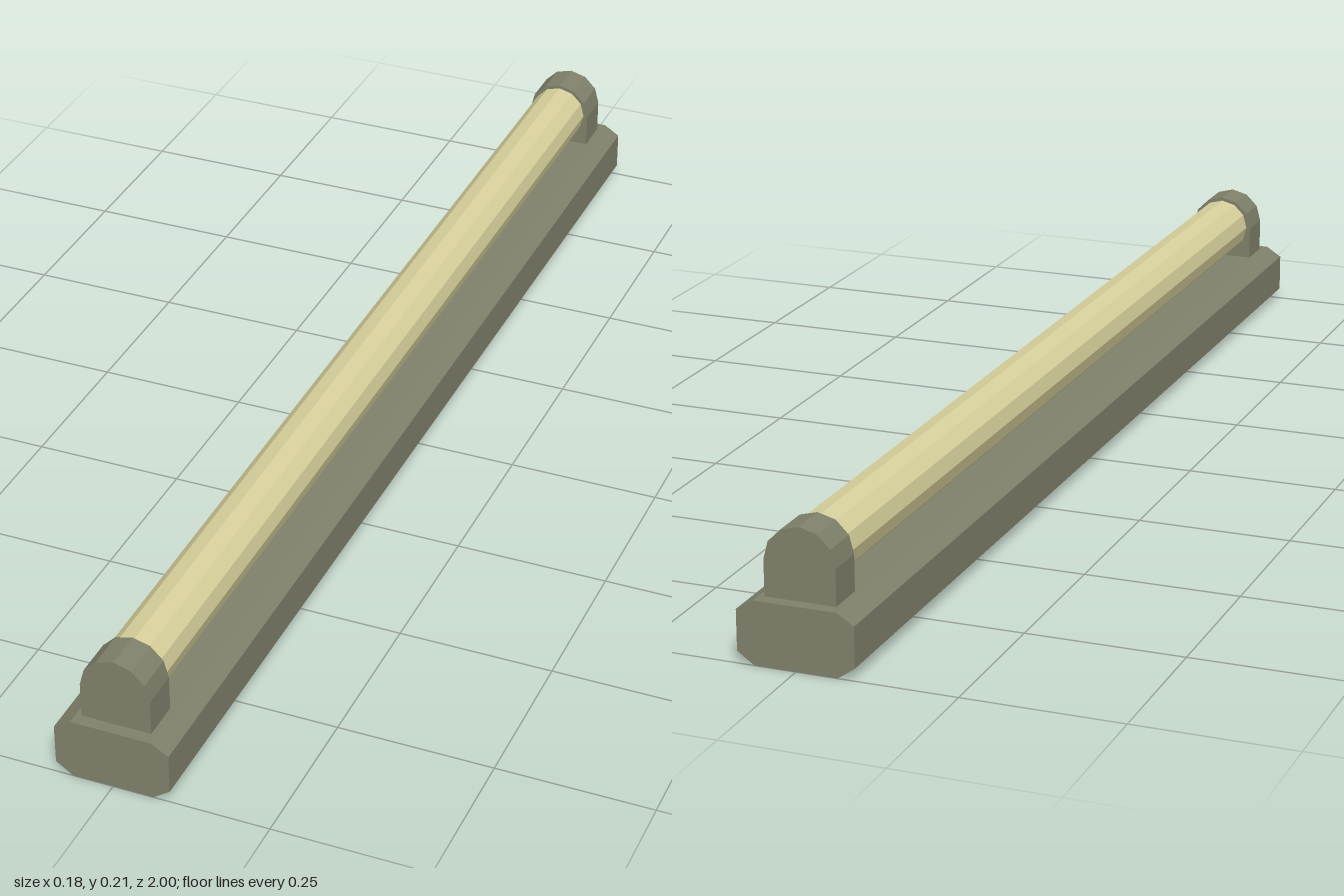
import * as THREE from 'three';

const housingGrey = new THREE.MeshStandardMaterial({ color: 0x80816b, flatShading: true });
const tubeCream = new THREE.MeshStandardMaterial({ color: 0xd8d19c, flatShading: true });

// Extrude an outline (x, y) along z, centred on z = 0
function prism(name, points, length) {
  const shape = new THREE.Shape(points.map(([x, y]) => new THREE.Vector2(x, y)));
  const geometry = new THREE.ExtrudeGeometry(shape, { depth: length, bevelEnabled: false });
  geometry.translate(0, 0, -length / 2);
  const mesh = new THREE.Mesh(geometry, housingGrey);
  mesh.name = name;
  return mesh;
}

export function createModel() {
  const group = new THREE.Group();
  group.name = 'tubeLight';

  // Long housing with chamfered edges
  group.add(prism('housing', [
    [-0.065, 0], [0.065, 0], [0.092, 0.019], [0.092, 0.083],
    [0.065, 0.1], [-0.065, 0.1], [-0.092, 0.083], [-0.092, 0.019],
  ], 2));

  // Round-topped sockets at both ends
  const centreY = 0.157, socketRadius = 0.056;
  const outline = [[-socketRadius, 0.1], [socketRadius, 0.1]];
  for (let i = 0; i <= 6; i++) {
    const a = (i * Math.PI) / 6;
    outline.push([socketRadius * Math.cos(a), centreY + socketRadius * Math.sin(a)]);
  }
  for (const side of [1, -1]) {
    const socket = prism(side > 0 ? 'frontSocket' : 'backSocket', outline, 0.064);
    socket.position.z = side * 0.948;
    group.add(socket);
  }

  // Twelve-sided lamp tube held between the sockets
  const tube = new THREE.Mesh(
    new THREE.CylinderGeometry(0.049, 0.049, 1.84, 12).rotateX(Math.PI / 2),
    tubeCream,
  );
  tube.name = 'lampTube';
  tube.position.y = 0.158;
  group.add(tube);

  return group;
}
